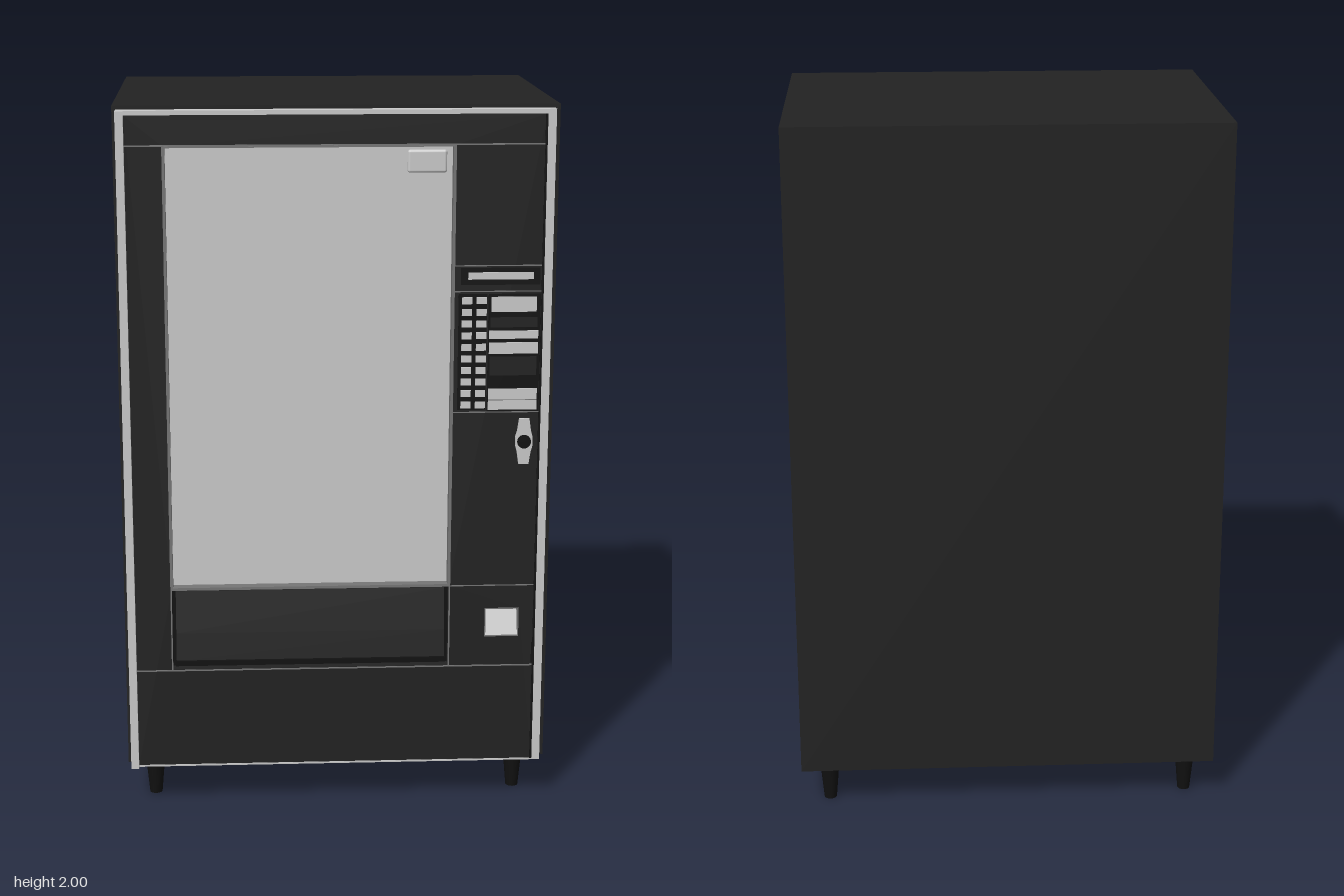
import * as THREE from 'three';
import { RoundedBoxGeometry } from 'three/addons/geometries/RoundedBoxGeometry.js';

const mat = (color) => new THREE.MeshStandardMaterial({ color });
const black = mat(0x222222), dark = mat(0x111111), grey = mat(0xcccccc), seamGrey = mat(0x777777);

export function createModel() {
  const root = new THREE.Group();
  const add = (name, geometry, material, parent = root) => {
    const mesh = new THREE.Mesh(geometry, material);
    mesh.name = name;
    parent.add(mesh);
    return mesh;
  };
  // Box given by its limits on each axis
  const box = (name, x0, x1, y0, y1, z0, z1, material, parent) => {
    const mesh = add(name, new THREE.BoxGeometry(x1 - x0, y1 - y0, z1 - z0), material, parent);
    mesh.position.set((x0 + x1) / 2, (y0 + y1) / 2, (z0 + z1) / 2);
    return mesh;
  };
  const trace = (path, x0, x1, y0, y1) =>
    path.moveTo(x0, y0).lineTo(x1, y0).lineTo(x1, y1).lineTo(x0, y1).closePath();
  // Flat plate with rectangular openings
  const plate = (name, outer, holes, z0, z1, material, parent) => {
    const shape = new THREE.Shape();
    trace(shape, ...outer);
    for (const h of holes) {
      const hole = new THREE.Path();
      trace(hole, ...h);
      shape.holes.push(hole);
    }
    const geometry = new THREE.ExtrudeGeometry(shape, { depth: z1 - z0, bevelEnabled: false });
    add(name, geometry, material, parent).position.z = z0;
  };

  // Cabinet and its pale underside
  box('cabinet', -0.6, 0.6, 0.12, 2, -0.45, 0.395, black);
  box('basePlate', -0.59, 0.59, 0.115, 0.125, -0.44, 0.385, grey);

  // Tapered feet
  for (const x of [-0.525, 0.52]) for (const z of [-0.38, 0.33]) {
    const foot = new THREE.Group();
    foot.name = 'foot';
    foot.position.set(x, 0, z);
    root.add(foot);
    add('footCone', new THREE.CylinderGeometry(0.027, 0.018, 0.1, 16), dark, foot).position.y = 0.05;
    add('footCollar', new THREE.CylinderGeometry(0.029, 0.029, 0.022, 16), dark, foot).position.y = 0.108;
  }

  // Door: pale outer frame, black face with openings
  const door = new THREE.Group();
  door.name = 'door';
  root.add(door);
  const windowHole = [-0.465, 0.315, 0.655, 1.895];
  const binHole = [-0.465, 0.315, 0.415, 0.65];
  const coinHole = [0.418, 0.515, 0.5, 0.585];
  plate('doorTrim', [-0.59, 0.585, 0.12, 1.99], [[-0.568, 0.56, 0.125, 1.978]], 0.395, 0.43, grey, door);
  plate('doorFace', [-0.568, 0.56, 0.125, 1.978], [windowHole, binHole, coinHole], 0.395, 0.428, black, door);
  box('hingePost', -0.59, -0.568, 0.12, 1.99, 0.43, 0.445, grey, door);
  box('postGroove', 0.556, 0.562, 0.125, 1.978, 0.42, 0.431, dark, door);

  // Window pane with its pale lining and a small sign plate
  box('windowPane', -0.465, 0.315, 0.655, 1.895, 0.396, 0.402, grey, door);
  plate('windowLining', windowHole, [[-0.461, 0.311, 0.659, 1.891]], 0.4, 0.43, seamGrey, door);
  const sign = add('signPlate', new RoundedBoxGeometry(0.106, 0.062, 0.014, 4, 0.007), grey, door);
  sign.position.set(0.242, 1.85, 0.409);

  // Delivery bin with a flap that leans outward toward its lower lip
  box('binBack', -0.465, 0.315, 0.415, 0.65, 0.395, 0.398, dark, door);
  const profile = new THREE.Shape();
  profile.moveTo(0.397, 0.44).lineTo(0.428, 0.44).lineTo(0.419, 0.52).lineTo(0.402, 0.64).lineTo(0.397, 0.64).closePath();
  const flapGeometry = new THREE.ExtrudeGeometry(profile, { depth: 0.76, bevelEnabled: false });
  flapGeometry.rotateY(-Math.PI / 2);
  add('deliveryFlap', flapGeometry, black, door).position.x = 0.305;
  box('flapLip', -0.457, 0.307, 0.428, 0.442, 0.42, 0.436, dark, door);

  // Thin panel joints
  const joint = (x0, x1, y0, y1) => box('panelJoint', x0, x1, y0, y1, 0.425, 0.4295, seamGrey, door);
  for (const y of [1.897, 0.412]) joint(-0.568, 0.556, y - 0.002, y + 0.002);
  joint(0.315, 0.319, 0.412, 1.897);
  joint(-0.469, -0.465, 0.412, 1.897);
  for (const y of [1.568, 1.497, 1.158, 0.653]) joint(0.319, 0.556, y - 0.0015, y + 0.0015);
  joint(-0.465, 0.315, 0.651, 0.655);

  // Control panel
  const controls = new THREE.Group();
  controls.name = 'controlPanel';
  root.add(controls);
  const panel = (name, x0, x1, y0, y1, material, z = 0.431) =>
    box(name, x0, x1, y0, y1, 0.42, z, material, controls);
  panel('displaySurround', 0.335, 0.552, 1.515, 1.562, dark, 0.429);
  panel('displayStrip', 0.355, 0.534, 1.53, 1.55, grey);
  panel('keypadPlate', 0.33, 0.408, 1.165, 1.49, dark, 0.429);
  for (let row = 0; row < 10; row++) for (const x of [0.353, 0.393])
    panel('keypadButton', x - 0.014, x + 0.014, 1.17 + row * 0.0325, 1.189 + row * 0.0325, grey, 0.432);
  panel('paymentPlate', 0.412, 0.555, 1.16, 1.49, dark, 0.429);
  panel('priceDisplay', 0.42, 0.544, 1.44, 1.482, grey);
  panel('billSlotTop', 0.415, 0.55, 1.365, 1.388, grey);
  panel('billSlotBottom', 0.415, 0.55, 1.323, 1.355, grey);
  panel('billCover', 0.418, 0.547, 1.262, 1.315, black, 0.43);
  panel('billMouth', 0.418, 0.547, 1.397, 1.425, black, 0.43);
  panel('coinSlotPlate', 0.415, 0.55, 1.165, 1.225, grey);
  panel('coinSlotLine', 0.415, 0.55, 1.192, 1.194, seamGrey, 0.4315);

  // Waisted lock handle with a round keyhole
  const lock = new THREE.Group();
  lock.name = 'lockHandle';
  lock.position.set(0.517, 1.075, 0.428);
  root.add(lock);
  const half = [[0.014, -0.065], [0.019, -0.03], [0.024, -0.012], [0.024, 0.012], [0.019, 0.03], [0.014, 0.065]];
  const outline = [...half, ...half.map(([x, y]) => [-x, -y])];
  const lockShape = new THREE.Shape(outline.map(([x, y]) => new THREE.Vector2(x, y)));
  add('handlePlate', new THREE.ExtrudeGeometry(lockShape, { depth: 0.009, bevelEnabled: false }), grey, lock);
  const barrel = add('keyBarrel', new THREE.CylinderGeometry(0.019, 0.019, 0.014, 24), dark, lock);
  barrel.rotation.x = Math.PI / 2;
  barrel.position.z = 0.007;

  // Coin return pocket with a sloping chute
  box('coinReturnBack', 0.418, 0.515, 0.5, 0.585, 0.395, 0.399, grey, door);
  const chute = new THREE.Shape();
  chute.moveTo(0.398, 0.502).lineTo(0.427, 0.502).lineTo(0.4, 0.575).lineTo(0.398, 0.575).closePath();
  const chuteGeometry = new THREE.ExtrudeGeometry(chute, { depth: 0.093, bevelEnabled: false });
  chuteGeometry.rotateY(-Math.PI / 2);
  add('coinReturnChute', chuteGeometry, grey, door).position.x = 0.513;
  plate('coinReturnRim', coinHole, [[0.421, 0.512, 0.503, 0.582]], 0.398, 0.43, seamGrey, door);
  box('doorLatch', 0.553, 0.558, 0.42, 0.48, 0.425, 0.432, dark, door);

  // Flap and chute profiles are drawn as (z, y), so mirror them to face outward
  for (const mesh of door.children.filter((m) => /deliveryFlap|coinReturnChute/.test(m.name))) {
    mesh.geometry.computeBoundingBox();
    const { min, max } = mesh.geometry.boundingBox;
    if (max.x > 0.001) mesh.position.x -= max.x;
    if (min.z < 0) mesh.geometry.translate(0, 0, -min.z - max.z);
  }
  return root;
}
